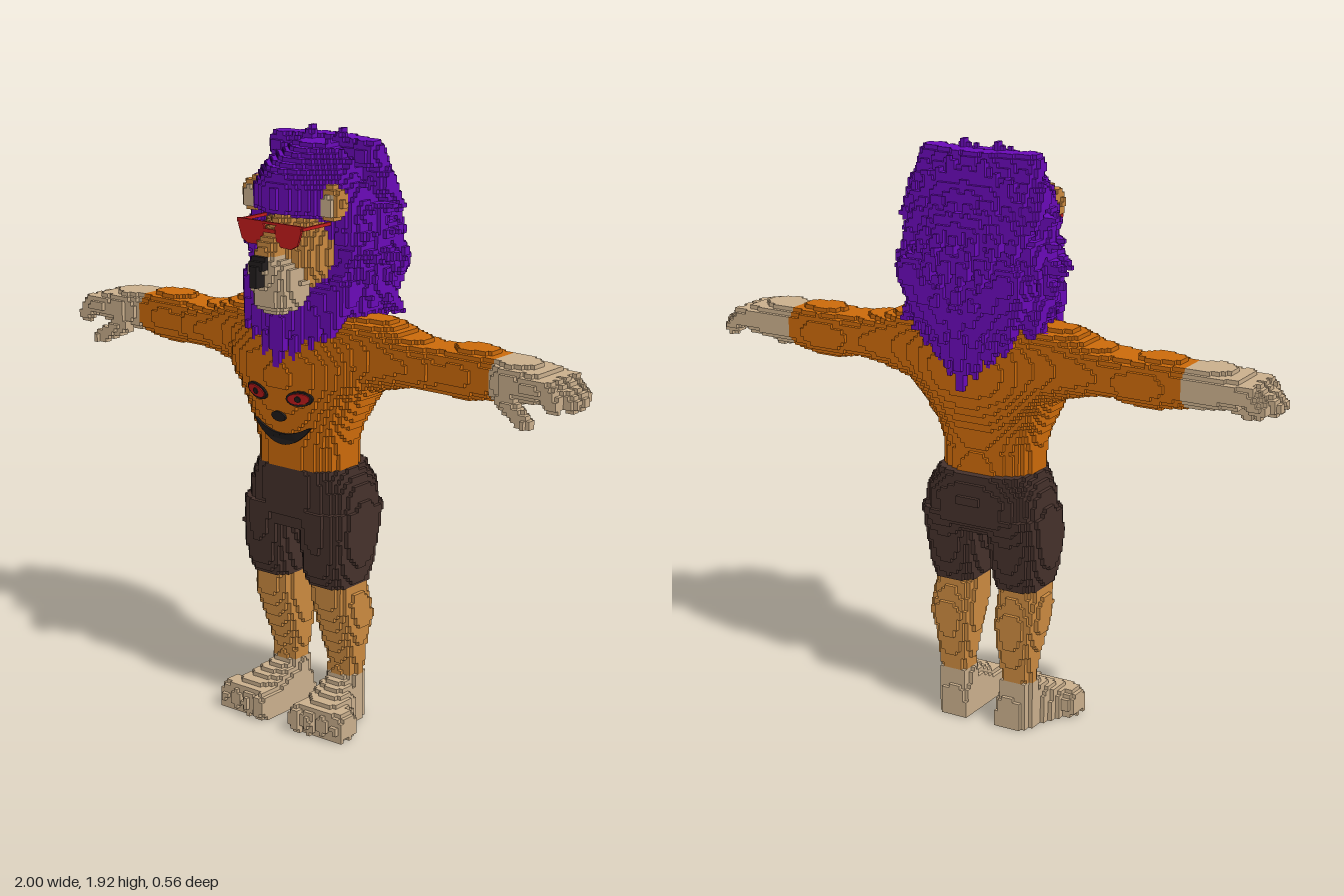
import * as THREE from 'three';

// Small-cube figure: parts are filled into a cell grid, then the exposed cell faces are meshed.
const S = 2 / 150, N = [150, 146, 44], MIN = [-1, 0, -22 * S];

const mat = (name, color) => Object.assign(new THREE.MeshStandardMaterial({ color }), { name });

export function createModel() {
  const orange = mat('orange fur', 0xcc6a0a), ochre = mat('ochre fur', 0xcb8a40), cream = mat('cream fur', 0xcbb08d);
  const purple = mat('purple mane', 0x6a0ab8), brown = mat('dark brown cloth', 0x45312b);
  const red = mat('red', 0xc41c1c), black = mat('black', 0x221e1e);
  const group = new THREE.Group();
  const cells = new Uint8Array(N[0] * N[1] * N[2]);
  const parts = [];
  const part = (name, material) => parts.push({ name, material });
  const index = (i, j, k) => i + N[0] * (j + N[1] * k);

  // Fill every cell whose centre passes the test, on both sides of x = 0, for the latest part.
  function fill(lo, hi, test) {
    const a = lo.map((v, d) => Math.max(0, Math.floor((v - MIN[d]) / S)));
    const b = hi.map((v, d) => Math.min(N[d] - 1, Math.ceil((v - MIN[d]) / S)));
    for (let k = a[2]; k <= b[2]; k++) for (let j = a[1]; j <= b[1]; j++) for (let i = a[0]; i <= b[0]; i++) {
      if (!test((i + 0.5) * S + MIN[0], (j + 0.5) * S, (k + 0.5) * S + MIN[2])) continue;
      cells[index(i, j, k)] = cells[index(N[0] - 1 - i, j, k)] = parts.length;
    }
  }

  // Rounded cross-sections along an axis: [t, min, max, min, max] over the other two axes.
  function loft(axis, secs, p = 2.3) {
    const [b, c] = [0, 1, 2].filter(d => d !== axis);
    const lo = [], hi = [];
    lo[axis] = secs[0][0]; hi[axis] = secs[secs.length - 1][0];
    [[b, 1], [c, 3]].forEach(([d, n]) => {
      lo[d] = Math.min(...secs.map(s => s[n]));
      hi[d] = Math.max(...secs.map(s => s[n + 1]));
    });
    fill(lo, hi, (...q) => {
      const t = q[axis], n = secs.findIndex(s => s[0] >= t);
      if (n < 1) return false;
      const f = (t - secs[n - 1][0]) / (secs[n][0] - secs[n - 1][0]);
      const [, b0, b1, c0, c1] = secs[n].map((v, m) => secs[n - 1][m] + (v - secs[n - 1][m]) * f);
      return Math.abs((2 * q[b] - b0 - b1) / (b1 - b0)) ** p + Math.abs((2 * q[c] - c0 - c1) / (c1 - c0)) ** p <= 1;
    });
  }

  const ball = (c, r) => fill(c.map((v, d) => v - r[d]), c.map((v, d) => v + r[d]),
    (...q) => q.reduce((sum, v, d) => sum + ((v - c[d]) / r[d]) ** 2, 0) <= 1);

  // Round tapered rod from a to b
  function cone(a, b, ra, rb) {
    const A = new THREE.Vector3(...a), D = new THREE.Vector3(...b).sub(A), P = new THREE.Vector3(), r = Math.max(ra, rb);
    fill(a.map((v, d) => Math.min(v, b[d]) - r), a.map((v, d) => Math.max(v, b[d]) + r), (x, y, z) => {
      P.set(x, y, z).sub(A);
      const t = THREE.MathUtils.clamp(P.dot(D) / D.lengthSq(), 0, 1);
      return P.addScaledVector(D, -t).length() <= ra + (rb - ra) * t;
    });
  }

  part('lowerLegs', ochre);
  loft(1, [[0.1, 0.06, 0.165, -0.07, 0.03], [0.2, 0.06, 0.17, -0.072, 0.018], [0.27, 0.05, 0.18, -0.085, 0.045],
    [0.36, 0.037, 0.2, -0.1, 0.075], [0.42, 0.037, 0.2, -0.08, 0.095], [0.5, 0.045, 0.185, -0.065, 0.1]]);

  part('feet', cream);
  loft(1, [[0.04, 0.055, 0.17, -0.072, 0.03], [0.16, 0.06, 0.168, -0.072, 0.03]], 2.6);
  loft(2, [[-0.075, 0.06, 0.15, -0.05, 0.1], [-0.05, 0.05, 0.165, -0.07, 0.13], [0.03, 0.05, 0.185, -0.08, 0.15],
    [0.1, 0.048, 0.225, -0.08, 0.115], [0.17, 0.055, 0.25, -0.07, 0.095]], 3);
  for (let n = 0; n < 4; n++) ball([0.078 + n * 0.05, 0.045, 0.155 - n * 0.008], [0.03, 0.05, 0.052]);

  part('torso', orange);
  loft(1, [[0.84, -0.16, 0.16, -0.11, 0.148], [0.94, -0.163, 0.163, -0.1, 0.148], [1, -0.18, 0.18, -0.11, 0.157],
    [1.1, -0.23, 0.23, -0.155, 0.178], [1.16, -0.28, 0.28, -0.175, 0.182], [1.22, -0.3, 0.3, -0.18, 0.18],
    [1.3, -0.29, 0.29, -0.17, 0.15], [1.365, -0.22, 0.22, -0.13, 0.08]]);

  part('arms', orange);
  loft(0, [[0.18, 1.11, 1.36, -0.15, 0.13], [0.3, 1.145, 1.355, -0.125, 0.1], [0.37, 1.165, 1.325, -0.12, 0.09],
    [0.46, 1.175, 1.31, -0.11, 0.085], [0.52, 1.165, 1.31, -0.12, 0.065], [0.6, 1.16, 1.325, -0.12, 0.065],
    [0.71, 1.18, 1.31, -0.105, 0.053]], 2.4);

  part('hands', cream);
  loft(0, [[0.71, 1.18, 1.308, -0.105, 0.055], [0.77, 1.185, 1.31, -0.108, 0.08], [0.88, 1.2, 1.295, -0.105, 0.075]], 2.6);
  [[-0.075, 0.95], [-0.03, 0.973], [0.015, 0.97], [0.056, 0.94]].forEach(([z, x]) => {
    cone([0.85, 1.255, z], [0.91, 1.25, z], 0.033, 0.031);
    cone([0.91, 1.25, z], [x, 1.215, z], 0.031, 0.026);
  });
  cone([0.77, 1.2, 0.055], [0.86, 1.148, 0.08], 0.03, 0.022);

  part('shorts', brown);
  loft(1, [[0.67, -0.2, 0.2, -0.11, 0.13], [0.71, -0.215, 0.215, -0.15, 0.143], [0.8, -0.2, 0.2, -0.155, 0.15],
    [0.865, -0.165, 0.165, -0.13, 0.15]], 2.6);
  loft(1, [[0.48, 0.035, 0.19, -0.08, 0.11], [0.54, 0.025, 0.205, -0.1, 0.135], [0.64, 0.012, 0.22, -0.112, 0.143],
    [0.74, 0, 0.215, -0.15, 0.147]], 2.5);

  part('mane', purple);
  loft(1, [[1.26, -0.1, 0.1, -0.18, 0.17], [1.34, -0.18, 0.18, -0.2, 0.188], [1.38, -0.22, 0.22, -0.205, 0.18],
    [1.45, -0.24, 0.24, -0.21, 0.13], [1.55, -0.25, 0.25, -0.215, 0.115], [1.66, -0.235, 0.235, -0.2, 0.115],
    [1.69, -0.22, 0.22, -0.185, 0.195], [1.76, -0.19, 0.19, -0.155, 0.195], [1.8, -0.165, 0.165, -0.13, 0.165],
    [1.84, -0.125, 0.125, -0.1, 0.1], [1.88, -0.06, 0.06, -0.06, 0.03]], 1.6);
  // Pointed locks around the outline, in three layers
  const tips = [[0.065, 1.925], [0.125, 1.885], [0.175, 1.865], [0.225, 1.785], [0.265, 1.705], [0.27, 1.62],
    [0.3, 1.54], [0.275, 1.465], [0.255, 1.4], [0.23, 1.34], [0.19, 1.3]];
  [[0.03, 0.92], [-0.04, 1], [-0.12, 0.87]].forEach(([z, s]) => tips.forEach(([x, y]) =>
    cone([x * s * 0.68, 1.58 + (y - 1.58) * s * 0.68, z], [x * s, 1.58 + (y - 1.58) * s, z - 0.03], 0.05, 0.005)));
  // Swept locks over the back
  let seed = 7;
  const rnd = () => (seed = (seed * 16807) % 2147483647) / 2147483647;
  for (let row = 0; row < 6; row++) for (let n = 0; n < 4; n++) {
    const x = (n + (row % 2) * 0.5) * 0.065, y = 1.8 - row * 0.085;
    const back = [0.185, 0.23, 0.265, 0.27, 0.25, 0.235][row] * Math.sqrt(1 - (x / 0.33) ** 2) - rnd() * 0.015;
    cone([x * 0.85, y + 0.05, 0.08 - back], [x, y - 0.03 - rnd() * 0.02, -back], 0.05, 0.006);
  }
  // Hanging locks: beard in front, longer point behind
  [[0, 1.2], [0.06, 1.235], [0.115, 1.27], [0.165, 1.3]].forEach(([x, y]) =>
    cone([x, y + 0.14, 0.13 - x * 0.4], [x * 0.95, y, 0.184 - x * 0.3], 0.055, 0.01));
  [[0, 1.17], [0.05, 1.205], [0.1, 1.25], [0.15, 1.29]].forEach(([x, y]) =>
    cone([x * 1.1, y + 0.22, -0.16], [x * 0.9, y, -0.19 + x * 0.2], 0.07, 0.01));

  part('head', ochre);
  ball([0, 1.55, 0.03], [0.137, 0.165, 0.165]);
  cone([0, 1.64, 0.15], [0, 1.555, 0.215], 0.04, 0.045);
  part('muzzle', cream);
  loft(1, [[1.38, -0.045, 0.045, 0.05, 0.22], [1.4, -0.075, 0.075, 0.05, 0.24], [1.47, -0.088, 0.088, 0.05, 0.248],
    [1.52, -0.08, 0.08, 0.05, 0.267], [1.555, -0.045, 0.045, 0.05, 0.262]]);
  part('nose', black);
  ball([0, 1.535, 0.258], [0.034, 0.024, 0.024]);
  fill([-0.013, 1.465, 0.235], [0.013, 1.53, 0.267], (x, y) => Math.abs(x) < 0.012 && y > 1.465 && y < 1.53);
  part('ears', ochre);
  ball([0.153, 1.715, 0.095], [0.042, 0.055, 0.036]);
  part('innerEars', cream);
  ball([0.155, 1.71, 0.118], [0.024, 0.036, 0.02]);

  // Mesh the exposed cell faces of each part
  const out = parts.map(() => []);
  const solid = q => q.every((v, d) => v >= 0 && v < N[d]) && cells[index(...q)];
  for (let k = 0; k < N[2]; k++) for (let j = 0; j < N[1]; j++) for (let i = 0; i < N[0]; i++) {
    const id = cells[index(i, j, k)];
    if (!id) continue;
    for (let d = 0; d < 3; d++) for (const side of [0, 1]) {
      const q = [i, j, k];
      q[d] += side ? 1 : -1;
      if (solid(q)) continue;
      const u = (d + 1) % 3, v = (d + 2) % 3;
      const loop = [[0, 0], [1, 0], [1, 1], [0, 0], [1, 1], [0, 1]];
      if (!side) loop.reverse();
      for (const [du, dv] of loop) {
        const c = [i, j, k];
        c[d] += side; c[u] += du; c[v] += dv;
        out[id - 1].push(...c.map((w, e) => w * S + MIN[e]));
      }
    }
  }
  function add(name, geometry, material) {
    const mesh = new THREE.Mesh(geometry, material);
    mesh.name = name;
    group.add(mesh);
    return mesh;
  }
  parts.forEach(({ name, material }, n) => {
    const g = new THREE.BufferGeometry();
    g.setAttribute('position', new THREE.Float32BufferAttribute(out[n], 3));
    g.computeVertexNormals();
    add(name, g, material);
  });

  // Thin plates; chest plates are bent to follow the body
  const plate = pts => new THREE.ExtrudeGeometry(new THREE.Shape(pts.map(p => new THREE.Vector2(...p))),
    { depth: 0.008, bevelEnabled: false });
  function chestPlate(name, pts, material, lift) {
    const g = plate(pts), p = g.attributes.position;
    for (let n = 0; n < p.count; n++) {
      const x = p.getX(n), y = p.getY(n);
      p.setZ(n, p.getZ(n) + 0.178 + 0.2 * (y - 1.1) - 1.3 * x * x + lift);
    }
    g.computeVertexNormals();
    add(name, g, material);
  }
  const almond = (cx, cy, w, h, tilt) => Array.from({ length: 16 }, (_, n) => {
    const a = n / 16 * Math.PI * 2, x = Math.cos(a) * w;
    return [cx + x, cy + Math.sin(a) * h + x * tilt];
  });
  for (const s of [-1, 1]) {
    chestPlate('chestEyeRim', almond(s * 0.085, 1.11, 0.046, 0.026, s * 0.12), black, 0.002);
    chestPlate('chestEye', almond(s * 0.085, 1.11, 0.038, 0.019, s * 0.12), red, 0.006);
    chestPlate('chestPupil', almond(s * 0.085, 1.11, 0.01, 0.01, 0), black, 0.009);
  }
  chestPlate('chestNose', almond(0, 1.04, 0.028, 0.017, 0), black, 0.004);
  const mouth = [];
  for (let n = -8; n <= 8; n++) mouth.push([n * 0.0143, 0.945 + 0.07 * (n / 8) ** 2]);
  for (let n = 7; n >= -7; n--) mouth.push([n * 0.0143, 0.983 + 0.038 * (n / 8) ** 2]);
  chestPlate('chestMouth', mouth, black, 0.005);

  // Sunglasses
  const box = (name, w, h, d, x, y, z) => add(name, new THREE.BoxGeometry(w, h, d), red).position.set(x, y, z);
  const lens = [[0.02, 1.645], [0.035, 1.657], [0.12, 1.657], [0.125, 1.64], [0.11, 1.597], [0.085, 1.584], [0.045, 1.586], [0.027, 1.605]];
  for (const s of [-1, 1]) {
    const pts = lens.map(([x, y]) => [x * s, y]);
    add('lens', plate(s < 0 ? pts.reverse() : pts), red).position.z = 0.207;
    box('temple', 0.008, 0.01, 0.14, s * 0.128, 1.65, 0.143);
  }
  box('bridge', 0.05, 0.012, 0.008, 0, 1.632, 0.213);
  box('browBar', 0.26, 0.008, 0.008, 0, 1.655, 0.211);
  return group;
}
